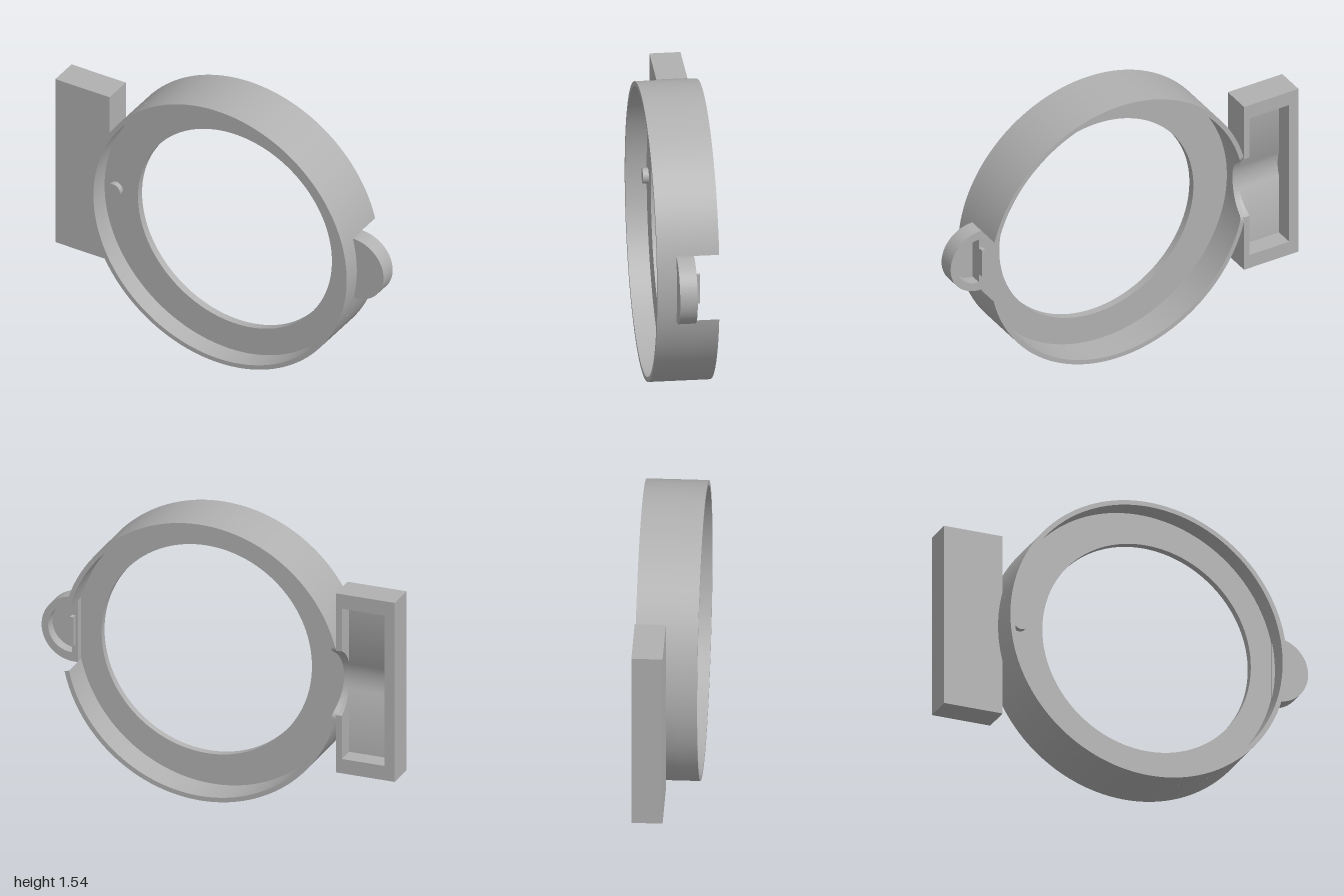
import * as THREE from 'three';
import { mergeGeometries, toCreasedNormals } from 'three/addons/utils/BufferGeometryUtils.js';

const CX = 0.07, CY = 0.77;          // ring centre
const RO = 0.77, RI = 0.745;         // rim radii
const BACK = -0.16, FRONT = 0.16;
const MID = 0.78;                    // height of tab, channel and box
const CH = { z: -0.243, r: 0.198 };  // round channel running along x

const grey = new THREE.MeshStandardMaterial({ color: 0xb0b0b0 });
grey.name = 'grey plastic';

function add(group, name, geo) {
  const mesh = new THREE.Mesh(geo, grey);
  mesh.name = name;
  group.add(mesh);
  return mesh;
}

function extrude(shape, z0, z1) {
  const g = new THREE.ExtrudeGeometry(shape, { depth: z1 - z0, bevelEnabled: false, curveSegments: 96 });
  g.translate(0, 0, z0);
  return toCreasedNormals(g, 0.5);
}

function box(x0, x1, y0, y1, z0, z1) {
  return new THREE.BoxGeometry(x1 - x0, y1 - y0, z1 - z0)
    .translate((x0 + x1) / 2, (y0 + y1) / 2, (z0 + z1) / 2);
}

// disc with a round hole, which may be off centre
function annulus(r, hx, hr) {
  const s = new THREE.Shape().absarc(CX, CY, r, 0, Math.PI * 2, false);
  s.holes.push(new THREE.Path().absarc(hx, CY, hr, 0, Math.PI * 2, true));
  return s;
}

// smooth strip between two rows of points
function strip(a, b) {
  const pos = [], idx = [];
  a.forEach((p, i) => {
    pos.push(...p, ...b[i]);
    if (i) { const k = 2 * i; idx.push(k - 2, k, k - 1, k, k + 1, k - 1); }
  });
  const g = new THREE.BufferGeometry();
  g.setAttribute('position', new THREE.Float32BufferAttribute(pos, 3));
  g.setIndex(idx);
  g.computeVertexNormals();
  return g;
}

// rear rim: open at the tab, with the round channel cut through the far side
function rearRim(zFront) {
  const a0 = Math.asin(0.19 / RO), a1 = Math.PI * 2 - Math.asin(0.17 / RO), n = 260;
  const oB = [], oF = [], iB = [], iF = [];
  for (let i = 0; i <= n; i++) {
    const a = a0 + (a1 - a0) * i / n, c = Math.cos(a), s = Math.sin(a);
    const dy = CY + RO * s - MID;
    let zb = BACK;
    if (c < 0 && Math.abs(dy) < CH.r) zb = Math.max(BACK, CH.z + Math.sqrt(CH.r ** 2 - dy ** 2));
    const put = (list, r, z) => list.push([CX + r * c, CY + r * s, z]);
    put(oB, RO, zb); put(oF, RO, zFront);
    put(iB, RI, zb); put(iF, RI, zFront);
  }
  const cap = (i, flip) => {
    const p = [oB[i], oF[i]], q = [iB[i], iF[i]];
    return flip ? strip(q, p) : strip(p, q);
  };
  return mergeGeometries([strip(oB, oF), strip(iF, iB), strip(iB, oB), cap(0, true), cap(n, false)]);
}

// plate with the round channel cut in its back, running along x
function channelPlate(depth, y0, y1, x0, x1) {
  const u = -CH.z, h = Math.sqrt(CH.r ** 2 - (u - depth) ** 2), a = Math.atan2(h, u - depth);
  const s = new THREE.Shape();
  s.moveTo(0, y0);
  s.lineTo(depth, y0);
  s.lineTo(depth, MID - h);
  s.absarc(u, MID, CH.r, Math.PI + a, Math.PI - a, true);
  s.lineTo(depth, y1);
  s.lineTo(0, y1);
  s.closePath();
  return extrude(s, x0, x1).rotateY(Math.PI / 2);
}

// half disc with straight root at x0
function halfDisc(Type, x0, xc, r) {
  const s = new Type();
  s.moveTo(x0, MID - r);
  s.lineTo(xc, MID - r);
  s.absarc(xc, MID, r, -Math.PI / 2, Math.PI / 2, false);
  s.lineTo(x0, MID + r);
  s.closePath();
  return s;
}

export function createModel() {
  const model = new THREE.Group();
  model.name = 'ringHolder';

  // ring
  const ring = new THREE.Group();
  ring.name = 'ring';
  model.add(ring);
  add(ring, 'frontRim', extrude(annulus(RO, CX, RI), 0.05, FRONT));
  const rear = add(ring, 'rearRim', rearRim(0.05));
  rear.material = grey;
  add(ring, 'web', extrude(annulus(0.75, 0.105, 0.58), 0.01, 0.05));
  const pin = new THREE.CylinderGeometry(0.04, 0.04, 0.04, 32).rotateX(Math.PI / 2);
  add(ring, 'pin', pin).position.set(-0.605, 0.775, 0.06);

  // hollow half-round tab, open at the back
  const tab = new THREE.Group();
  tab.name = 'tab';
  model.add(tab);
  const wall = halfDisc(THREE.Shape, 0.8, 0.82, 0.18);
  wall.holes.push(halfDisc(THREE.Path, 0.832, 0.834, 0.13));
  add(tab, 'tabWall', extrude(wall, -0.03, 0.03));
  add(tab, 'tabFace', extrude(halfDisc(THREE.Shape, 0.8, 0.82, 0.18), 0.03, 0.06));
  add(tab, 'tabRoot', box(0.812, 0.832, 0.70, 0.86, -0.06, -0.03));

  // side box, open at the back
  const side = new THREE.Group();
  side.name = 'sideBox';
  model.add(side);
  const y0 = 0.28, y1 = 1.28, t = 0.08;
  add(side, 'outerWall', box(-1, -0.945, y0, y1, BACK, 0));
  add(side, 'innerWall', channelPlate(-BACK, y0, y1, -0.708, -0.675));
  add(side, 'floor', channelPlate(0.06, y0, y1, -0.945, -0.708));
  add(side, 'bottomWall', box(-0.945, -0.708, y0, y0 + t, BACK, -0.06));
  add(side, 'topWall', box(-0.945, -0.708, y1 - t, y1, BACK, -0.06));
  return model;
}
